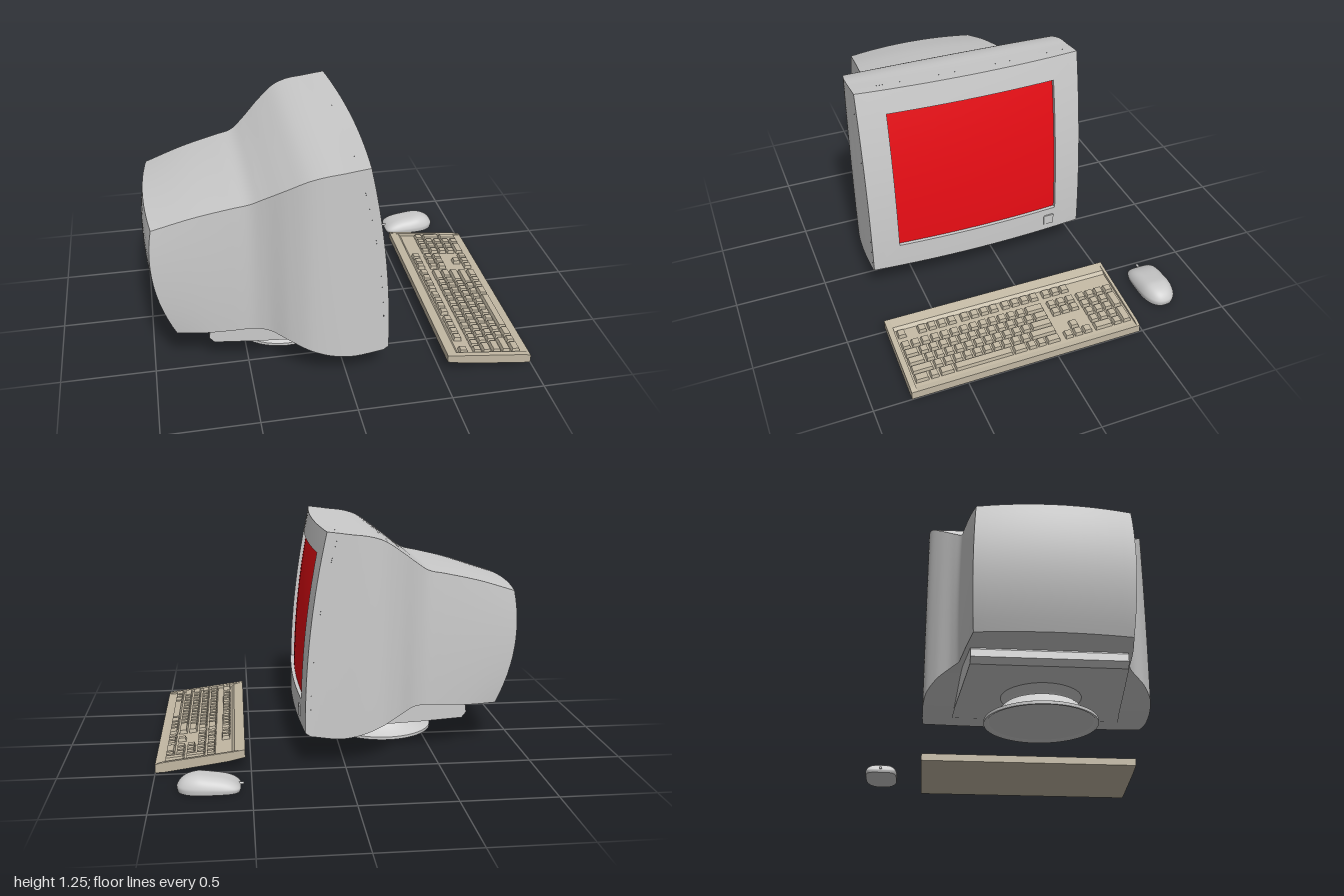
import * as THREE from 'three';
import { mergeGeometries, mergeVertices } from 'three/addons/utils/BufferGeometryUtils.js';
import { ParametricGeometry } from 'three/addons/geometries/ParametricGeometry.js';

const grey = new THREE.MeshStandardMaterial({ color: 0xcccccc });
const beige = new THREE.MeshStandardMaterial({ color: 0xc2b8a3 });
const red = new THREE.MeshStandardMaterial({ color: 0xe80c14 });
const lerp = THREE.MathUtils.lerp;
const V = (x, y, z) => new THREE.Vector3(x, y, z);
const CZ = 0.14; // monitor centre line

function part(name, geometry, material = grey) {
  const mesh = new THREE.Mesh(geometry, material);
  mesh.name = name;
  return mesh;
}

// Smooth surface from fn(u, v); it faces along du x dv
function patch(fn, nu, nv) {
  const g = new ParametricGeometry((u, v, p) => p.copy(fn(u, v)), nu, nv);
  g.deleteAttribute('uv');
  g.deleteAttribute('normal');
  const m = mergeVertices(g, 1e-5);
  m.computeVertexNormals();
  return m;
}

// Side profile (x, y pairs) extruded between two z values
function slab(points, z0, z1) {
  const shape = new THREE.Shape(points.map(([x, y]) => new THREE.Vector2(x, y)));
  return new THREE.ExtrudeGeometry(shape, { depth: z1 - z0, bevelEnabled: false }).translate(0, 0, z0);
}

// Shell sections, back to front: top x, top y, bottom x, bottom y, half width, bow
const sections = [
  [-0.955, 0.885, -0.87, 0.25, 0.38, -0.027],
  [-0.75, 0.95, -0.72, 0.25, 0.405, -0.012],
  [-0.56, 0.995, -0.56, 0.26, 0.425, 0],
  [-0.47, 1.015, -0.47, 0.268, 0.437, 0],
  [-0.4, 1.06, -0.39, 0.27, 0.475, 0],
  [-0.3, 1.135, -0.3, 0.245, 0.545, 0],
  [-0.2, 1.2, -0.2, 0.205, 0.597, 0],
  [-0.12, 1.225, -0.1, 0.17, 0.613, 0],
  [-0.03, 1.236, 0.02, 0.15, 0.615, 0.008],
  [0.035, 1.245, 0.185, 0.17, 0.615, 0.02],
];
const topCurve = new THREE.CatmullRomCurve3(sections.map((s) => V(s[0], s[1], s[4])));
const lowCurve = new THREE.CatmullRomCurve3(sections.map((s) => V(s[2], s[3], s[5])));

// t: back to front, h: bottom to top (0..1), w: across (-1..1)
function shell(t, h, w) {
  const a = topCurve.getPoint(t), b = lowCurve.getPoint(t);
  const hump = 4 * h * (1 - h), crown = 1 - w * w;
  return V(
    lerp(b.x, a.x, h) + b.z * (2 * hump + crown),
    lerp(b.y, a.y, h) + 0.012 * (1 - t) * crown * h,
    CZ + w * (a.z + 0.01 * (1 - t) * hump));
}

// Curved front of the bezel, pushed back by depth
function face(h, w, depth = 0) {
  return V(lerp(0.212, 0.095, h) + 0.12 * h * (1 - h) + 0.03 * (1 - w * w) - depth,
    lerp(0.19, 1.252, h), CZ + 0.615 * w);
}

function makeMonitor() {
  const g = new THREE.Group();
  g.name = 'monitor';
  const s = (v) => v * 2 - 1;
  g.add(part('monitorShell', mergeGeometries([
    patch((u, v) => shell(v, 1, s(u)), 12, 54),
    patch((u, v) => shell(u, 0, s(v)), 54, 12),
    patch((u, v) => shell(u, v, 1), 54, 12),
    patch((u, v) => shell(v, u, -1), 12, 54),
    patch((u, v) => shell(0, v, s(u)), 12, 12),
  ])));

  // Bezel: front frame, outer wall and inner wall on each of four sides
  const outer = [[0, -1], [1, -1], [1, 1], [0, 1]];
  const inner = [[0.132, -0.756], [0.88, -0.756], [0.88, 0.756], [0.132, 0.756]];
  const along = (ring, i, u) => ring[i].map((c, k) => lerp(c, ring[(i + 1) % 4][k], u));
  const bezel = [];
  for (let i = 0; i < 4; i++) {
    bezel.push(
      patch((u, v) => {
        const o = along(outer, i, u), n = along(inner, i, u);
        return face(lerp(o[0], n[0], v), lerp(o[1], n[1], v));
      }, 16, 3),
      patch((u, v) => {
        const o = along(outer, i, u);
        return shell(1, ...o).lerp(face(...o), v);
      }, 16, 1),
      patch((u, v) => face(...along(inner, i, u), 0.022 * v), 16, 1));
  }
  g.add(part('bezel', mergeGeometries(bezel)));
  g.add(part('screen', patch((u, v) =>
    face(lerp(0.132, 0.88, u), lerp(-0.756, 0.756, v), 0.02), 16, 16), red));

  const button = part('powerButton', new THREE.BoxGeometry(0.014, 0.058, 0.058));
  button.position.copy(face(0.066, -0.69));
  g.add(button);

  // Tilt plate under the shell, narrowing to the back
  const plate = slab([[-0.7, 0.24], [-0.705, 0.2], [-0.68, 0.17], [-0.45, 0.163], [-0.1, 0.16],
    [0, 0.145], [0.17, 0.175], [0.1, 0.2], [-0.1, 0.22], [-0.4, 0.28], [-0.68, 0.26]], -1, 1);
  const p = plate.attributes.position;
  for (let i = 0; i < p.count; i++) {
    const k = THREE.MathUtils.clamp((p.getX(i) + 0.7) / 0.7, 0, 1);
    p.setZ(i, CZ + p.getZ(i) * lerp(0.385, 0.455, k));
  }
  plate.computeVertexNormals();
  g.add(part('tiltPlate', plate));

  // Round swivel foot: flared skirt and neck
  const lathe = (pts) => new THREE.LatheGeometry(pts.map(([r, y]) => new THREE.Vector2(r, y)), 48);
  const foot = mergeGeometries([
    lathe([[0, 0.03], [0.27, 0.03]]),
    lathe([[0.27, 0.03], [0.285, 0.02], [0.297, 0.02]]),
    lathe([[0.297, 0.02], [0.297, 0.036]]),
    lathe([[0.297, 0.036], [0.265, 0.05], [0.235, 0.075], [0.21, 0.1], [0.195, 0.113]]),
    lathe([[0.195, 0.113], [0.165, 0.115]]),
    lathe([[0.165, 0.115], [0.18, 0.135], [0.215, 0.165]]),
  ]);
  const base = part('swivelFoot', foot);
  base.position.set(-0.275, 0, CZ);
  g.add(base);
  return g;
}

function makeKeyboard() {
  const g = new THREE.Group();
  g.name = 'keyboard';
  const under = [[0.53, 0.07], [0.62, 0.05], [0.95, 0.004], [1, 0.002]];
  const deck = [...under, [1, 0.047], [0.97, 0.046], [0.6, 0.083], [0.585, 0.1], [0.53, 0.112]];
  const end = [...under, [1, 0.047], [0.97, 0.056], [0.585, 0.104], [0.53, 0.112]];
  g.add(part('keyboardCase', slab(deck, -0.464, 0.77), beige));
  g.add(part('keyboardEnds', mergeGeometries([slab(end, -0.48, -0.464), slab(end, 0.77, 0.8)]), beige));

  // Tapered keycap; x is its row, z its centre, sizes include the gap
  const keys = [], pitch = 0.0545;
  function key(x, z, width = pitch, depth = pitch) {
    const k = new THREE.BoxGeometry(depth - 0.007, 0.026, width - 0.007).toNonIndexed();
    const p = k.attributes.position;
    for (let i = 0; i < p.count; i++) {
      if (p.getY(i) < 0) continue;
      p.setX(i, p.getX(i) - Math.sign(p.getX(i)) * 0.006);
      p.setZ(i, p.getZ(i) - Math.sign(p.getZ(i)) * 0.006);
    }
    k.computeVertexNormals();
    keys.push(k.rotateZ(-0.1).translate(x, 0.083 - 0.103 * (x - 0.6) + 0.008, z));
  }
  const rowX = (r) => 0.71 + r * pitch;
  const ones = (n) => Array(n).fill(1);
  const rows = [
    [...ones(13), 2],
    [1.5, ...ones(12), 1.5],
    [1.75, ...ones(11), 2.25],
    [2.25, ...ones(10), 2.75],
    [1.5, 1, 1.5, 6, 1.5, 1, 1, 1.5],
  ];
  rows.forEach((row, r) => {
    let z = 0.765;
    for (const units of row) {
      const w = units * 0.0537;
      key(rowX(r), z - w / 2, w);
      z -= w;
    }
  });
  // Function row
  key(0.632, 0.737);
  for (const start of [0.625, 0.385, 0.15]) for (let i = 0; i < 4; i++) key(0.632, start - i * 0.0555);
  // Editing and arrow keys
  for (let i = 0; i < 3; i++) {
    const z = -0.09 - i * pitch;
    for (const x of [0.632, rowX(0), rowX(1), rowX(4)]) key(x, z);
  }
  key(rowX(3), -0.09 - pitch);
  // Number pad
  for (let r = 0; r < 5; r++) {
    const wide = r === 4;
    if (wide) key(rowX(r), -0.2925, pitch * 2);
    for (let c = wide ? 2 : 0; c < 3; c++) key(rowX(r), -0.265 - c * pitch);
  }
  key(rowX(0), -0.4285);
  for (const r of [1.5, 3.5]) key(rowX(r), -0.4285, pitch, pitch * 2);
  g.add(part('keys', mergeGeometries(keys), beige));
  return g;
}

function makeMouse() {
  const g = new THREE.Group();
  g.name = 'mouse';
  // Plan is square at the cable end and round at the palm end
  const pow = (c, e) => Math.sign(c) * Math.abs(c) ** e;
  const plan = (a, r, y) => {
    const c = Math.cos(a), e = c < 0 ? 0.45 : 0.85;
    const x = pow(c, e) * (c < 0 ? 0.17 : 0.16) * r;
    return V(0.72 + x, y * (0.9 + Math.min(x, 0.05) * 1.6), -0.715 + pow(Math.sin(a), e) * 0.096 * r);
  };
  const tau = Math.PI * 2;
  g.add(part('mouseBody', patch((u, v) => {
    const f = v * Math.PI / 2;
    return plan(-u * tau, Math.cos(f) ** 0.6 * (0.94 + 0.06 * Math.min(1, v * 5)), 0.092 * Math.sin(f));
  }, 48, 20)));
  g.add(part('mouseBottom', patch((u, v) => plan(u * tau, v < 0.5 ? 0.94 : 0, 0), 48, 1)));
  const cable = part('cableStub', new THREE.CylinderGeometry(0.007, 0.007, 0.03, 12).rotateZ(Math.PI / 2));
  cable.position.set(0.556, 0.025, -0.715);
  g.add(cable);
  return g;
}

export function createModel() {
  const model = new THREE.Group();
  model.name = 'desktopComputer';
  model.add(makeMonitor(), makeKeyboard(), makeMouse());
  return model;
}
